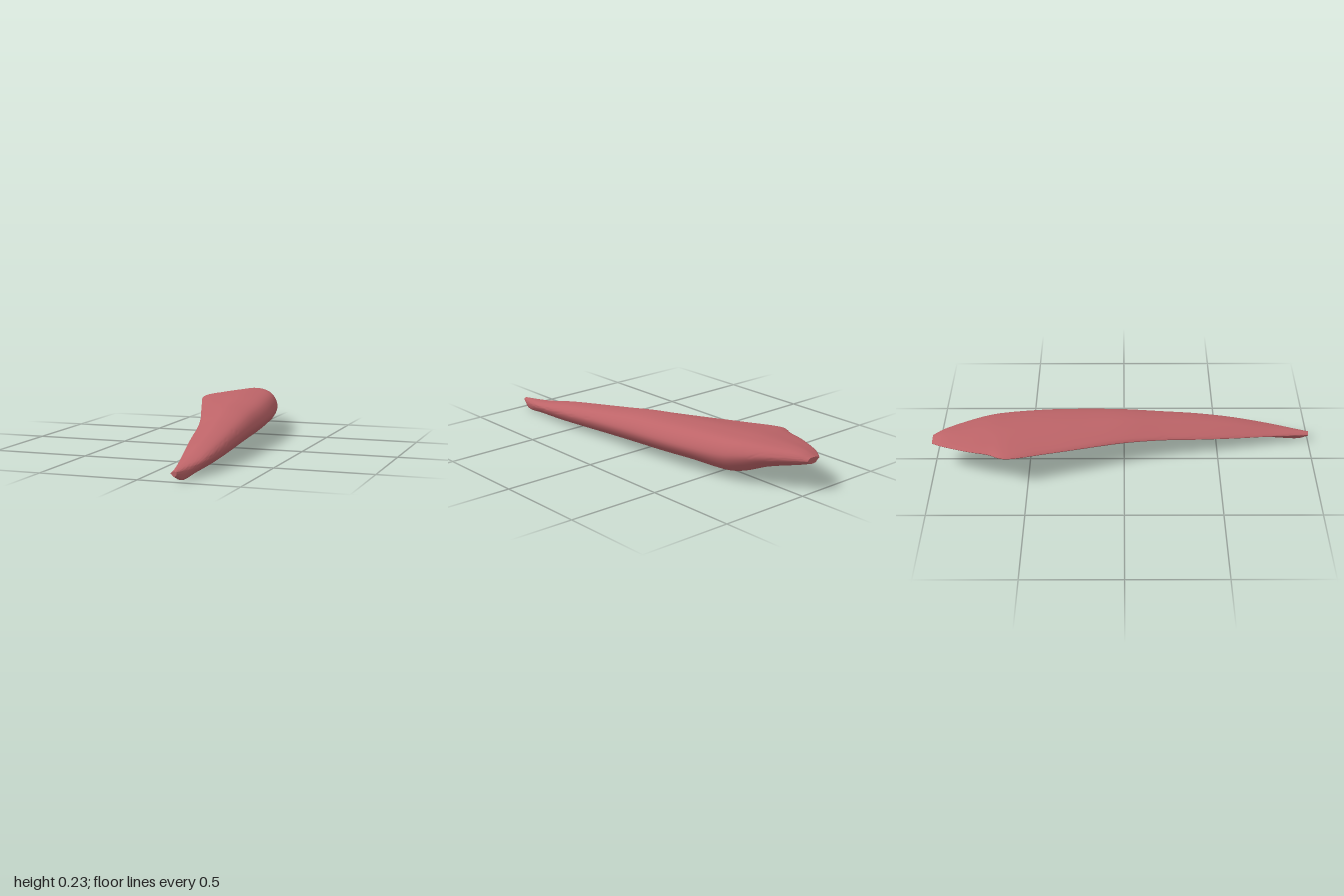
import * as THREE from 'three';
import { toCreasedNormals } from 'three/addons/utils/BufferGeometryUtils.js';

// Cross-sections from the thin front tip to the broad back end:
// z, thin inner edge (x, y), crest (x, y), outer side (x, y), lower rim (x, y), foot x
const SECTIONS = [
  [1.0, 0.165, 0.043, 0.178, 0.053, 0.195, 0.045, 0.188, 0.03, 0.177],
  [0.95, 0.158, 0.045, 0.18, 0.06, 0.21, 0.04, 0.2, 0.006, 0.188],
  [0.8, 0.128, 0.06, 0.18, 0.082, 0.243, 0.06, 0.215, 0.017, 0.182],
  [0.6, 0.08, 0.08, 0.165, 0.122, 0.26, 0.08, 0.225, 0.029, 0.165],
  [0.4, 0.035, 0.103, 0.15, 0.153, 0.262, 0.097, 0.222, 0.04, 0.145],
  [0.2, -0.005, 0.126, 0.12, 0.178, 0.255, 0.11, 0.21, 0.048, 0.12],
  [0, -0.06, 0.146, 0.09, 0.203, 0.247, 0.12, 0.195, 0.053, 0.095],
  [-0.2, -0.13, 0.16, 0.07, 0.215, 0.237, 0.127, 0.18, 0.057, 0.075],
  [-0.4, -0.2, 0.172, 0.05, 0.225, 0.217, 0.132, 0.155, 0.06, 0.055],
  [-0.62, -0.265, 0.185, 0.03, 0.228, 0.177, 0.138, 0.115, 0.055, 0.035],
  [-0.7, -0.23, 0.187, 0.01, 0.228, 0.15, 0.15, 0.09, 0.072, 0.015],
  [-0.8, -0.205, 0.187, -0.02, 0.221, 0.1, 0.165, 0.05, 0.11, -0.05],
  [-0.95, -0.145, 0.182, -0.06, 0.205, 0.005, 0.172, -0.025, 0.143, -0.08],
  [-1.0, -0.11, 0.175, -0.07, 0.186, -0.03, 0.172, -0.05, 0.156, -0.085],
];
const RINGS = 78;
const SIDES = 48;

// Rails running lengthwise through the section points
function makeRails() {
  return [[1, 2], [3, 4], [5, 6], [7, 8], [9, 8]].map(([kx, ky]) => new THREE.CatmullRomCurve3(
    SECTIONS.map((s) => new THREE.Vector3(s[kx], s[ky], s[0]))));
}

// Closed outline: domed crest, full outer side, narrow foot, slightly hollow underside
function makeRing(rails, t) {
  const [inner, crest, outer, rim, foot] = rails.map((r) => r.getPoint(t));
  const thick = crest.y - rim.y;
  const slope = inner.clone().lerp(crest, 0.5);
  slope.y += thick * 0.06;
  const shoulder = crest.clone().lerp(outer, 0.75);
  shoulder.y += (crest.y - outer.y) * 0.52;
  foot.y += thick * 0.03;
  const under = inner.clone().lerp(foot, 0.55);
  under.y += thick * 0.06;
  const outline = new THREE.CatmullRomCurve3(
    [inner, slope, crest, shoulder, outer, rim, foot, under], true);
  return Array.from({ length: SIDES }, (_, j) => outline.getPoint(j / SIDES));
}

function makeBody() {
  const rails = makeRails();
  const points = [];
  const index = [];
  for (let i = 0; i <= RINGS; i++) points.push(...makeRing(rails, i / RINGS));
  for (let i = 0; i < RINGS; i++) {
    for (let j = 0; j < SIDES; j++) {
      const a = i * SIDES + j;
      const b = i * SIDES + (j + 1) % SIDES;
      index.push(a, b, a + SIDES, b, b + SIDES, a + SIDES);
    }
  }
  // End caps
  for (const [ring, front] of [[0, true], [RINGS, false]]) {
    const start = ring * SIDES;
    const centre = new THREE.Vector3();
    for (let j = 0; j < SIDES; j++) centre.addScaledVector(points[start + j], 1 / SIDES);
    const c = points.push(centre) - 1;
    for (let j = 0; j < SIDES; j++) {
      const a = start + j;
      const b = start + (j + 1) % SIDES;
      if (front) index.push(c, b, a);
      else index.push(c, a, b);
    }
  }
  const geometry = new THREE.BufferGeometry().setFromPoints(points);
  geometry.setIndex(index);
  return toCreasedNormals(geometry, 0.9);
}

export function createModel() {
  const group = new THREE.Group();
  group.name = 'muscle';
  const red = new THREE.MeshStandardMaterial({ color: 0xbd6468 });
  red.name = 'muscle red';
  const body = new THREE.Mesh(makeBody(), red);
  body.name = 'muscleBelly';
  group.add(body);
  return group;
}
